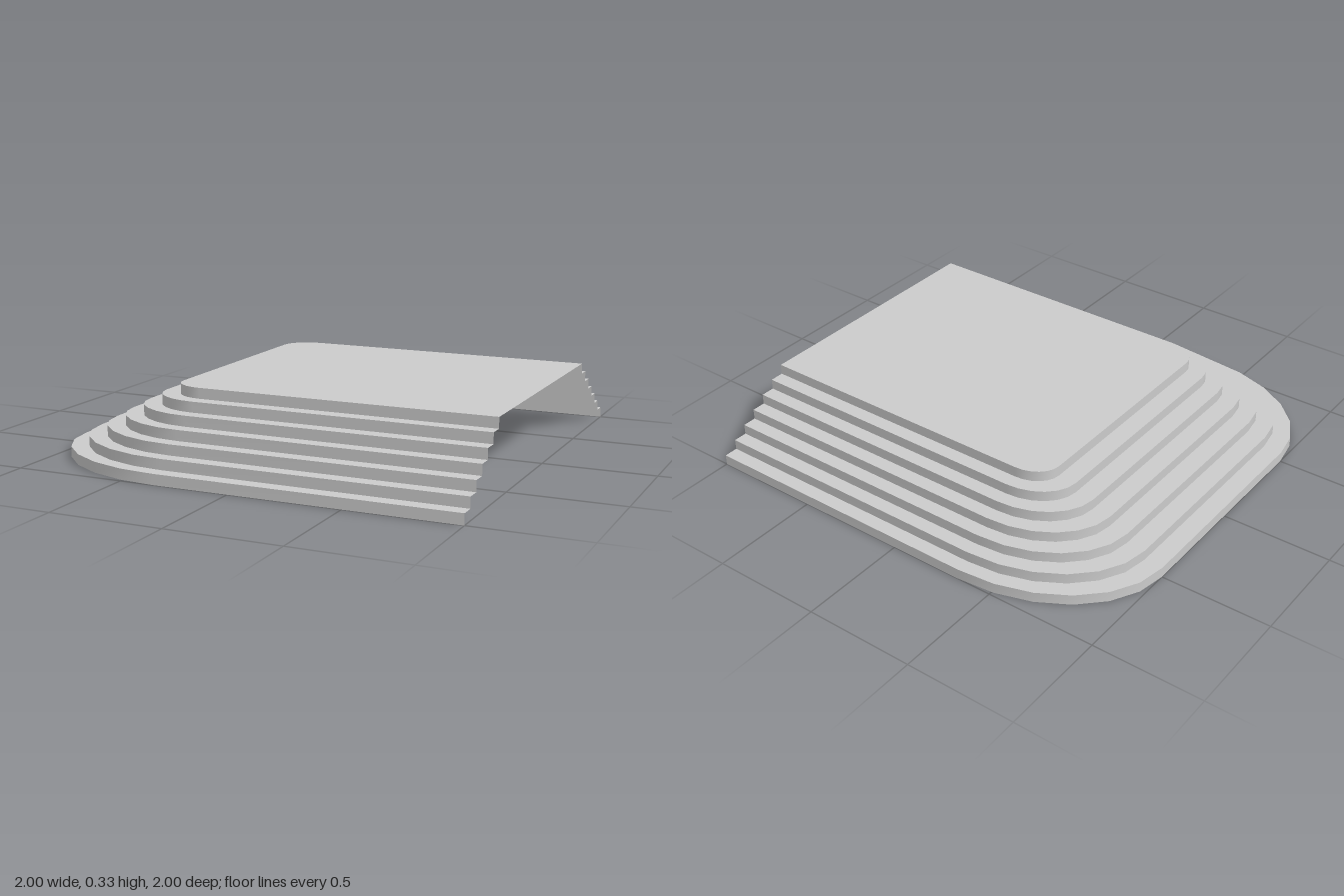
import * as THREE from 'three';

const STEPS = 7;
const RISE = 0.333 / STEPS;
const SEGMENTS = 6; // per rounded corner

// U-shaped outline of one step, running from the +z end round to the -z end
function outline(step) {
  const rx = 0.66 - 0.0862 * step;
  const rz = 0.5 - 0.0645 * step;
  const corner = [];
  for (let i = 0; i <= SEGMENTS; i++) {
    const a = (i / SEGMENTS) * Math.PI / 2;
    corner.push([-0.34 - rx * Math.sin(a), 0.5 + rz * Math.cos(a)]);
  }
  const half = [[1, 0.5 + rz], ...corner];
  return [...half, ...half.map(([x, z]) => [x, -z]).reverse()];
}

// Strip of quads between two outlines at their own heights
function strip(a, ya, b, yb) {
  const positions = [];
  const index = [];
  a.forEach(([x, z], i) => {
    positions.push(x, ya, z, b[i][0], yb, b[i][1]);
    if (i < a.length - 1) {
      const k = i * 2;
      index.push(k, k + 1, k + 2, k + 1, k + 3, k + 2);
    }
  });
  const geometry = new THREE.BufferGeometry();
  geometry.setAttribute('position', new THREE.Float32BufferAttribute(positions, 3));
  geometry.setIndex(index);
  geometry.computeVertexNormals();
  return geometry;
}

export function createModel() {
  const group = new THREE.Group();
  group.name = 'steppedPlatform';
  const material = new THREE.MeshStandardMaterial({ color: 0xcccccc, side: THREE.DoubleSide });
  const add = (name, geometry) => {
    const mesh = new THREE.Mesh(geometry, material);
    mesh.name = name;
    group.add(mesh);
    return mesh;
  };

  // Open shell of risers and treads, with no floor and no wall at x = 1
  for (let i = 0; i < STEPS; i++) {
    const ring = outline(i);
    const top = (i + 1) * RISE;
    add(`riser${i + 1}`, strip(ring, i * RISE, ring, top));
    if (i < STEPS - 1) add(`tread${i + 1}`, strip(ring, top, outline(i + 1), top));
  }

  // Flat deck on the last step
  const shape = new THREE.Shape(outline(STEPS - 1).map(([x, z]) => new THREE.Vector2(x, -z)));
  const deck = add('deck', new THREE.ShapeGeometry(shape).rotateX(-Math.PI / 2));
  deck.position.y = STEPS * RISE;

  return group;
}
